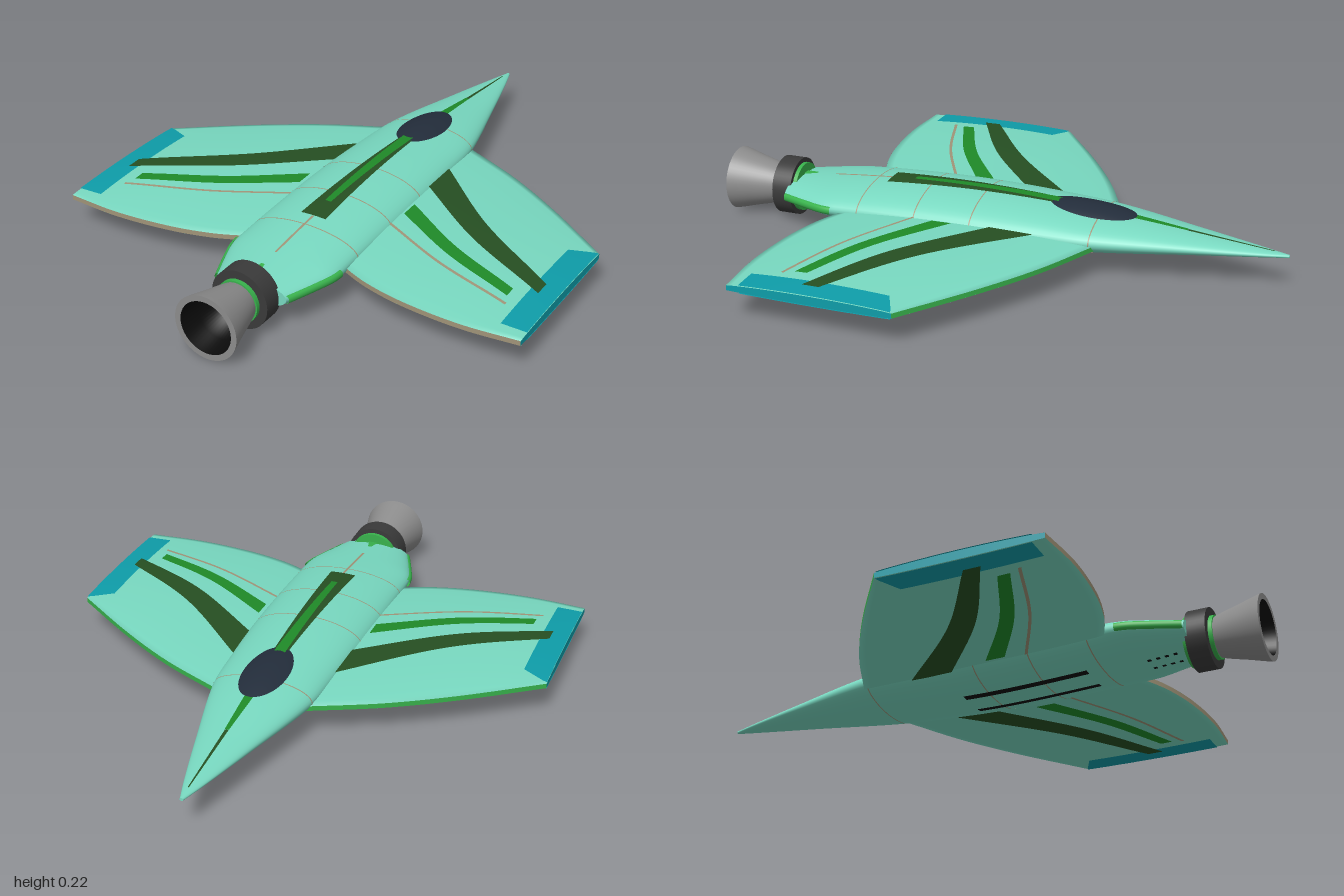
import * as THREE from 'three';
import { ParametricGeometry } from 'three/addons/geometries/ParametricGeometry.js';

const COLORS = {
  hull: 0x78d8c0, darkGreen: 0x264f22, green: 0x1f8a28, edgeGreen: 0x38b24c, teal: 0x0e9ca8,
  tan: 0xa09478, glass: 0x232d3b, black: 0x0b0b0b, collar: 0x3a3a3a, metal: 0x8c8c8c,
};
const mats = {};
const mat = (c) => (mats[c] ??= new THREE.MeshStandardMaterial({ color: COLORS[c], side: THREE.DoubleSide }));

// Smooth interpolation through [t, value] pairs
function curve(pts) {
  const slope = (i) => {
    const a = pts[Math.max(i - 1, 0)], b = pts[Math.min(i + 1, pts.length - 1)];
    return (b[1] - a[1]) / (b[0] - a[0]);
  };
  return (t) => {
    let i = 0;
    while (i < pts.length - 2 && t > pts[i + 1][0]) i++;
    const [x0, y0] = pts[i], [x1, y1] = pts[i + 1], d = x1 - x0;
    const k = THREE.MathUtils.clamp((t - x0) / d, 0, 1), k2 = k * k, k3 = k2 * k;
    return (2 * k3 - 3 * k2 + 1) * y0 + (k3 - 2 * k2 + k) * d * slope(i)
      + (3 * k2 - 2 * k3) * y1 + (k3 - k2) * d * slope(i + 1);
  };
}
const lerp = THREE.MathUtils.lerp;

// Fuselage half width, top and bottom along z
const bodyW = curve([[-1, 0.006], [-0.9, 0.036], [-0.7, 0.09], [-0.38, 0.17], [-0.2, 0.186], [0, 0.197],
  [0.25, 0.2], [0.5, 0.198], [0.58, 0.194], [0.65, 0.172], [0.76, 0.13]]);
const bodyTop = curve([[-1, 0.122], [-0.7, 0.153], [-0.4, 0.184], [0, 0.205], [0.35, 0.198], [0.76, 0.162]]);
const bodyBottom = curve([[-1, 0.112], [-0.7, 0.092], [-0.4, 0.068], [0, 0.046], [0.35, 0.052], [0.76, 0.074]]);
const bodyMid = (z) => (bodyTop(z) + bodyBottom(z)) / 2;
const bodyHalf = (z) => (bodyTop(z) - bodyBottom(z)) / 2;
const bodyY = (x, z, up) => bodyMid(z) + up * bodyHalf(z) * Math.sqrt(Math.max(0, 1 - (x / bodyW(z)) ** 2));

// Wing leading and trailing edges along x, and its upper and lower skins
const leading = curve([[0.08, -0.42], [0.17, -0.38], [0.39, -0.275], [0.6, -0.145], [0.843, 0.03]]);
const trailing = curve([[0.08, 0.45], [0.19, 0.512], [0.3, 0.557], [0.45, 0.59], [0.65, 0.605], [0.843, 0.592]]);
const TIP = 0.843;
function wingY(x, z, up) {
  const v = THREE.MathUtils.clamp((z - leading(x)) / (trailing(x) - leading(x)), 0, 1);
  const span = x < 0.45 ? 1 : 1 - 0.65 * ((x - 0.45) / 0.4) ** 2;
  const bulge = Math.pow(Math.sin(Math.PI * v), 0.7) * span;
  return up > 0 ? 0.121 + 0.024 * bulge : 0.104 - 0.009 * bulge;
}

export function createModel() {
  const model = new THREE.Group();
  const add = (parent, name, geo, color) => {
    const mesh = new THREE.Mesh(geo, mat(color));
    mesh.name = name;
    parent.add(mesh);
    return mesh;
  };
  const surface = (parent, name, color, f, nu, nv) =>
    add(parent, name, new ParametricGeometry((u, v, p) => p.set(...f(u, v)), nu, nv), color);

  // Fuselage skin, also used for thin panel seams
  const hullBand = (name, color, z0, z1, grow, n) => surface(model, name, color, (u, v) => {
    const z = lerp(z0, z1, v), a = u * Math.PI * 2;
    return [Math.sin(a) * (bodyW(z) + grow), bodyMid(z) + Math.cos(a) * (bodyHalf(z) + grow), z];
  }, 48, n);
  hullBand('fuselage', 'hull', -1, 0.76, 0, 70);
  [-0.37, 0.04, 0.24, 0.45].forEach((z) => hullBand('panelSeam', 'tan', z - 0.002, z + 0.002, 0.0008, 1));
  const cap = (name, z) => {
    const disc = add(model, name, new THREE.CircleGeometry(1, 48), 'hull');
    disc.scale.set(bodyW(z), bodyHalf(z), 1);
    disc.position.set(0, bodyMid(z), z);
  };
  cap('tailCap', 0.76);
  cap('noseCap', -1);

  // Strips laid along the fuselage
  const bodyStrip = (name, color, z0, z1, w0, w1, lift, up = 1, xc = 0) => surface(model, name, color, (u, v) => {
    const z = lerp(z0, z1, v), x = xc + (u * 2 - 1) * lerp(w0, w1, v);
    return [x, bodyY(x, z, up) + up * lift, z];
  }, 6, 24);
  bodyStrip('spineStripe', 'darkGreen', -0.28, 0.4, 0.022, 0.046, 0.004);
  bodyStrip('spineHighlight', 'green', -0.28, 0.31, 0.02, 0.011, 0.007);
  bodyStrip('noseStripe', 'darkGreen', -0.95, -0.66, 0.002, 0.006, 0.002);
  bodyStrip('noseStripeRear', 'green', -0.66, -0.45, 0.007, 0.016, 0.003);
  bodyStrip('tailSeam', 'tan', 0.4, 0.62, 0.004, 0.004, 0.002);
  bodyStrip('tailFairing', 'edgeGreen', 0.69, 0.755, 0.006, 0.022, 0.004);
  for (const s of [-1, 1]) {
    bodyStrip('bellySlot', 'black', -0.05, 0.4, 0.012, 0.012, 0.004, -1, s * 0.055);
    for (let i = 0; i < 4; i++)
      bodyStrip('bellyVent', 'black', 0.6 + i * 0.03, 0.613 + i * 0.03, 0.007, 0.007, 0.003, -1, s * 0.03);
  }

  // Canopy: oval dome following the hull
  surface(model, 'canopy', 'glass', (u, v) => {
    const a = u * Math.PI * 2, x = 0.076 * v * Math.cos(a), z = -0.335 + 0.15 * v * Math.sin(a);
    return [x, bodyY(x, z, 1) + 0.003 + 0.012 * (1 - v * v), z];
  }, 40, 8);

  // Wings, one per side
  for (const s of [1, -1]) {
    const wing = new THREE.Group();
    wing.name = s > 0 ? 'leftWing' : 'rightWing';
    model.add(wing);

    // Patch on a wing skin between two z curves
    const patch = (name, color, x0, x1, front, back, up, lift, nu = 24, nv = 4) =>
      surface(wing, name, color, (u, v) => {
        const x = lerp(x0, x1, u), z = lerp(front(x), back(x), v);
        return [s * x, wingY(x, z, up) + up * lift, z];
      }, nu, nv);
    const edge = (name, color, line) => surface(wing, name, color, (u, v) => {
      const x = lerp(0.08, TIP, u);
      return [s * x, lerp(wingY(x, line(x), -1), wingY(x, line(x), 1), v), line(x)];
    }, 30, 1);

    const darkFront = curve([[0.17, -0.195], [0.47, 0.09], [0.785, 0.3]]);
    const darkBack = curve([[0.17, -0.045], [0.47, 0.19], [0.785, 0.358]]);
    const greenFront = curve([[0.2, 0.095], [0.45, 0.262], [0.71, 0.378]]);
    const greenBack = curve([[0.2, 0.165], [0.45, 0.315], [0.71, 0.42]]);
    const seam = curve([[0.19, 0.233], [0.45, 0.362], [0.725, 0.452]]);
    for (const up of [1, -1]) {
      const side = up > 0 ? 'upper' : 'lower';
      patch(side + 'Skin', 'hull', 0.08, TIP, leading, trailing, up, 0, 32, 32);
      patch(side + 'DarkStripe', 'darkGreen', 0.17, 0.785, darkFront, darkBack, up, 0.004);
      patch(side + 'GreenStripe', 'green', 0.205, 0.71, greenFront, greenBack, up, 0.004);
      patch(side + 'Seam', 'tan', 0.19, 0.725, seam, (x) => seam(x) + 0.011, up, 0.003);
      patch(side + 'TipPanel', 'teal', 0.755, TIP, (x) => Math.max(leading(x) + 0.004, 0.075 - (x - 0.755) * 0.5),
        () => 0.55, up, 0.003, 6, 20);
    }
    edge('leadingEdge', 'edgeGreen', leading);
    edge('trailingEdge', 'tan', trailing);
    surface(wing, 'tipFace', 'teal', (u, v) => {
      const z = lerp(leading(TIP), trailing(TIP), u);
      return [s * TIP, lerp(wingY(TIP, z, -1), wingY(TIP, z, 1), v), z];
    }, 24, 1);

    // Green rail on the tapering tail side
    surface(wing, 'tailRail', 'edgeGreen', (u, v) => {
      const z = lerp(0.55, 0.757, u), a = v * Math.PI;
      return [s * (bodyW(z) - 0.004 + 0.012 * Math.sin(a)), bodyMid(z) + 0.014 * Math.cos(a), z];
    }, 16, 8);
  }

  // Engine, lying along z
  const engine = new THREE.Group();
  engine.name = 'engine';
  engine.position.y = 0.113;
  model.add(engine);
  const lathe = (name, color, profile) => {
    const geo = new THREE.LatheGeometry(profile.map(([r, z]) => new THREE.Vector2(r, z)), 48);
    add(engine, name, geo.rotateX(Math.PI / 2), color);
  };
  const drum = (name, color, r, z0, z1) => {
    const geo = new THREE.CylinderGeometry(r, r, z1 - z0, 48).rotateX(Math.PI / 2);
    add(engine, name, geo, color).position.z = (z0 + z1) / 2;
  };
  drum('mountRing', 'edgeGreen', 0.086, 0.738, 0.757);
  drum('collar', 'collar', 0.102, 0.752, 0.822);
  drum('collarRing', 'edgeGreen', 0.074, 0.82, 0.836);
  lathe('nozzle', 'metal', [[0.066, 0.828], [0.077, 0.865], [0.092, 0.925], [0.106, 0.975], [0.112, 1]]);
  lathe('nozzleRim', 'metal', [[0.112, 1], [0.092, 1]]);
  lathe('nozzleInside', 'black', [[0.092, 1], [0.08, 0.93], [0.055, 0.85], [0.001, 0.85]]);

  return model;
}
